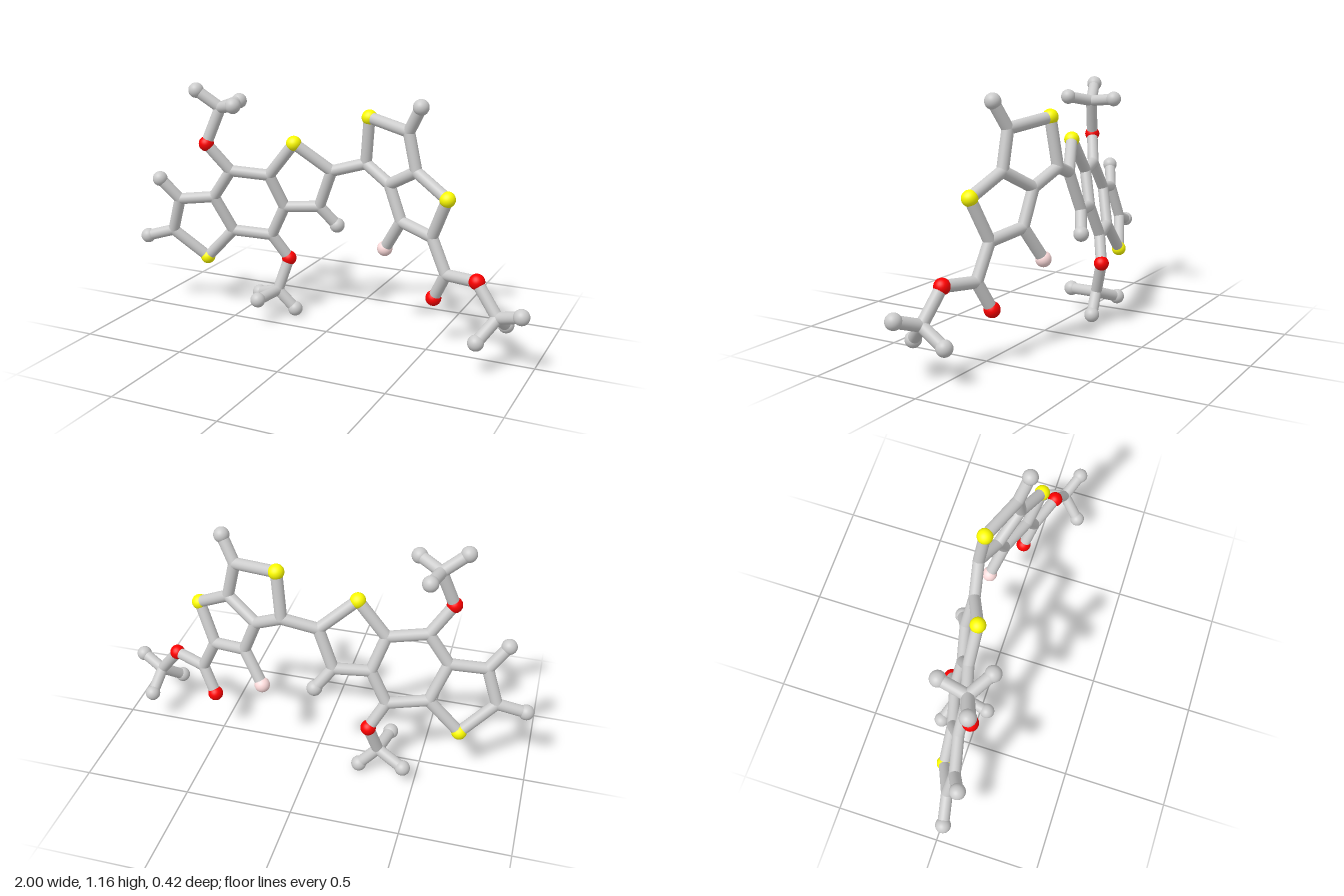
import * as THREE from 'three';

const BALL = 0.036, STICK = 0.027;
const UP = new THREE.Vector3(0, 1, 0);

// Each half of the molecule lies in its own tilted plane, giving z from x and y
const rightPlane = (x, y) => -0.26 * x + 0.232 * y - 0.295;
const leftPlane = (x, y) => 0.371 * x + 0.067 * y - 0.248;

// Ring system and its substituents on the -x side
const rightAtoms = {
  sulfurA: [-0.68, 0.27], a1: [-0.83, 0.41], a2: [-0.77, 0.58],
  a3: [-0.60, 0.60], a4: [-0.53, 0.425],
  c1: [-0.50, 0.74], c2: [-0.32, 0.725], c3: [-0.265, 0.565], c4: [-0.345, 0.41],
  sulfurB: [-0.185, 0.89], b1: [-0.025, 0.76], b2: [-0.10, 0.575],
  endA1: [-0.965, 0.37], endA2: [-0.85, 0.683], endB2: [-0.025, 0.48],
  oxygenTop: [-0.595, 0.873], oxygenBottom: [-0.275, 0.287],
  // methyl groups leave the plane
  methylTop: [-0.53, 1.045, 0.035],
  endT1: [-0.635, 1.125, 0.073], endT2: [-0.42, 1.07, 0.107], endT3: [-0.505, 1.06, -0.10],
  methylBottom: [-0.315, 0.13, -0.11],
  endM1: [-0.445, 0.083, -0.16], endM2: [-0.23, 0.038, -0.13], endM3: [-0.345, 0.122, 0.043],
};

// Ring system and its substituents on the +x side
const leftAtoms = {
  d1: [0.135, 0.805], sulfurD: [0.16, 1.025], d2: [0.38, 0.99],
  d3: [0.42, 0.815], d4: [0.27, 0.73],
  sulfurE: [0.585, 0.72], e1: [0.505, 0.53], e2: [0.335, 0.565],
  endD2: [0.445, 1.107], fluorine: [0.24, 0.412],
  ester: [0.58, 0.37], oxygenDouble: [0.515, 0.24], oxygenSingle: [0.74, 0.38],
  methylEster: [0.845, 0.24, 0.08],
  endE1: [0.96, 0.28, 0.128], endE2: [0.78, 0.15, 0.173], endE3: [0.855, 0.168, -0.037],
};

// Bonds written as chains of atom names
const chains = [
  'sulfurA a1 a2 a3 a4 sulfurA', 'a3 c1 c2 c3 c4 a4', 'c2 sulfurB b1 b2 c3',
  'a1 endA1', 'a2 endA2', 'b2 endB2',
  'c1 oxygenTop methylTop endT1', 'endT2 methylTop endT3',
  'c4 oxygenBottom methylBottom endM1', 'endM2 methylBottom endM3',
  'b1 d1',
  'd1 sulfurD d2 d3 d4 d1', 'd3 sulfurE e1 e2 d4', 'd2 endD2', 'e2 fluorine',
  'e1 ester oxygenSingle methylEster endE1', 'ester oxygenDouble',
  'endE2 methylEster endE3',
];

export function createModel() {
  const model = new THREE.Group();
  model.name = 'molecule';
  const atoms = new THREE.Group(), bonds = new THREE.Group();
  atoms.name = 'atoms';
  bonds.name = 'bonds';
  model.add(atoms, bonds);

  const grey = new THREE.MeshStandardMaterial({ color: 0xcccccc });
  const colored = {
    sulfur: new THREE.MeshStandardMaterial({ color: 0xffff00 }),
    oxygen: new THREE.MeshStandardMaterial({ color: 0xff0000 }),
    fluorine: new THREE.MeshStandardMaterial({ color: 0xffdddd }),
  };
  const ballGeo = new THREE.SphereGeometry(BALL, 28, 18);
  const jointGeo = new THREE.SphereGeometry(STICK, 24, 16);
  const stickGeo = new THREE.CylinderGeometry(STICK, STICK, 1, 24, 1, true);

  // Balls: coloured atoms and free ends are larger, carbon joints match the sticks
  const points = {};
  const addAtoms = (table, plane) => {
    for (const [key, [x, y, z = plane(x, y)]] of Object.entries(table)) {
      const kind = Object.keys(colored).find((k) => key.startsWith(k));
      const isEnd = key.startsWith('end');
      const ball = new THREE.Mesh(kind || isEnd ? ballGeo : jointGeo, kind ? colored[kind] : grey);
      ball.name = kind ? `${kind}Atom` : isEnd ? 'hydrogenAtom' : 'carbonJoint';
      ball.position.set(x, y, z);
      points[key] = ball.position;
      atoms.add(ball);
    }
  };
  addAtoms(rightAtoms, rightPlane);
  addAtoms(leftAtoms, leftPlane);

  // Sticks between neighbours along each chain
  for (const chain of chains) {
    const names = chain.split(' ');
    for (let i = 1; i < names.length; i++) {
      const from = points[names[i - 1]], to = points[names[i]];
      const dir = to.clone().sub(from);
      const stick = new THREE.Mesh(stickGeo, grey);
      stick.name = 'bond';
      stick.scale.y = dir.length();
      stick.position.copy(from).add(to).multiplyScalar(0.5);
      stick.quaternion.setFromUnitVectors(UP, dir.normalize());
      bonds.add(stick);
    }
  }
  return model;
}
